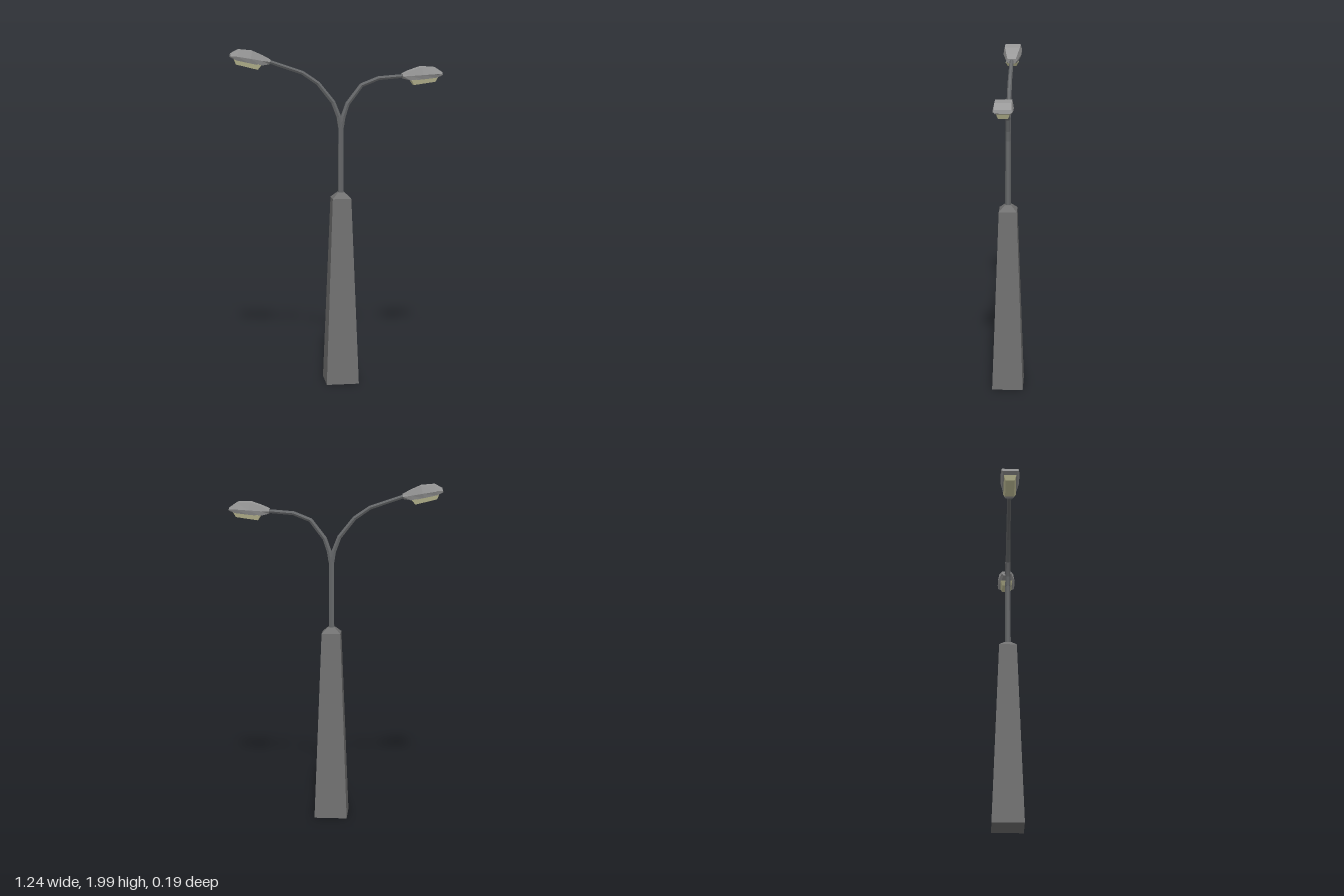
import * as THREE from 'three';

const mat = (name, color) => {
  const m = new THREE.MeshStandardMaterial({ color, flatShading: true });
  m.name = name;
  return m;
};

// Skin a list of rings (arrays of Vector3, counter-clockwise about the travel direction) and close both ends
function loft(rings) {
  const pos = [], n = rings[0].length;
  const tri = (...p) => p.forEach(v => pos.push(v.x, v.y, v.z));
  for (let i = 0; i < rings.length - 1; i++) {
    for (let j = 0; j < n; j++) {
      const k = (j + 1) % n, [r, s] = [rings[i], rings[i + 1]];
      tri(r[j], r[k], s[k]);
      tri(r[j], s[k], s[j]);
    }
  }
  const first = rings[0], last = rings[rings.length - 1];
  for (let j = 1; j < n - 1; j++) {
    tri(first[0], first[j + 1], first[j]);
    tri(last[0], last[j], last[j + 1]);
  }
  const g = new THREE.BufferGeometry();
  g.setAttribute('position', new THREE.Float32BufferAttribute(pos, 3));
  g.computeVertexNormals();
  return g;
}

// Six-sided tapered tube through points in the xy plane
function armGeometry(points, r0, r1) {
  const pts = points.map(p => new THREE.Vector3(p[0], p[1], 0));
  return loft(pts.map((c, i) => {
    const t = pts[Math.min(i + 1, pts.length - 1)].clone().sub(pts[Math.max(i - 1, 0)]).normalize();
    const r = THREE.MathUtils.lerp(r0, r1, i / (pts.length - 1));
    return Array.from({ length: 6 }, (_, j) => {
      const a = j * Math.PI / 3 + Math.PI / 6;
      return new THREE.Vector3(c.x - t.y * r * Math.cos(a), c.y + t.x * r * Math.cos(a), r * Math.sin(a));
    });
  }));
}

// Lamp housing stations: [x, bottom y, rim y, top y, bottom half width, rim half width, top half width]
const HOUSING = [
  [0, -0.014, 0, 0.014, 0.02, 0.03, 0.025],
  [0.045, -0.032, -0.004, 0.026, 0.032, 0.04, 0.034],
  [0.115, -0.034, -0.008, 0.038, 0.045, 0.055, 0.046],
  [0.192, -0.036, -0.014, 0.026, 0.044, 0.055, 0.046],
  [0.23, -0.028, -0.021, -0.008, 0.04, 0.052, 0.048],
];
const housingGeometry = () => loft(HOUSING.map(([x, b, m, t, wb, wm, wt]) =>
  [[t, -wt], [t, wt], [m, wm], [b, wb], [b, -wb], [m, -wm]].map(([y, z]) => new THREE.Vector3(x, y, z))));

// Glass tray: upward loft from a small lower rectangle to a larger upper one
const glassGeometry = () => loft([[-0.06, 0.058, 0.186, 0.026], [-0.03, 0.045, 0.208, 0.038]].map(([y, x0, x1, w]) =>
  [[x0, w], [x1, w], [x1, -w], [x0, -w]].map(([x, z]) => new THREE.Vector3(x, y, z))));

export function createModel() {
  const model = new THREE.Group();
  model.name = 'streetLamp';
  const concrete = mat('concrete grey', 0x717171);
  const steel = mat('steel grey', 0x66686a);
  const shell = mat('housing grey', 0x999999);
  const glass = mat('pale yellow glass', 0xcccaa0);

  const add = (parent, name, geometry, material) => {
    const mesh = new THREE.Mesh(geometry, material);
    mesh.name = name;
    parent.add(mesh);
    return mesh;
  };

  // Square tapered pedestal with a sloping cap
  const X = 0.024;
  const square = (top, bottom, y0, y1) => new THREE.CylinderGeometry(top * Math.SQRT2, bottom * Math.SQRT2, y1 - y0, 4)
    .rotateY(Math.PI / 4).scale(1, 1, 0.96).translate(X, (y0 + y1) / 2, 0);
  add(model, 'pedestal', square(0.055, 0.097, 0, 1.12), concrete);
  add(model, 'pedestalCap', square(0.02, 0.055, 1.12, 1.153), concrete);

  // Pole
  add(model, 'pole', new THREE.CylinderGeometry(0.016, 0.018, 0.43, 6).translate(X, 1.355, 0), steel);

  // Two arms, each ending in a pitched lamp head
  const arms = [
    { side: 'right', turn: Math.PI, pitch: 14,
      path: [[0.021, 1.54], [0.011, 1.6], [-0.022, 1.685], [-0.11, 1.795], [-0.2, 1.857], [-0.41, 1.929]] },
    { side: 'left', turn: 0, pitch: 8,
      path: [[0.027, 1.54], [0.037, 1.6], [0.063, 1.675], [0.145, 1.782], [0.245, 1.822], [0.41, 1.835]] },
  ];
  for (const { side, turn, pitch, path } of arms) {
    add(model, side + 'Arm', armGeometry(path, 0.016, 0.012), steel);
    const head = new THREE.Group();
    head.name = side + 'LampHead';
    add(head, 'housing', housingGeometry(), shell);
    add(head, 'glass', glassGeometry(), glass);
    head.position.set(side === 'left' ? 0.386 : -0.39, side === 'left' ? 1.833 : 1.922, 0);
    head.rotation.set(0, turn, THREE.MathUtils.degToRad(pitch));
    model.add(head);
  }
  return model;
}
